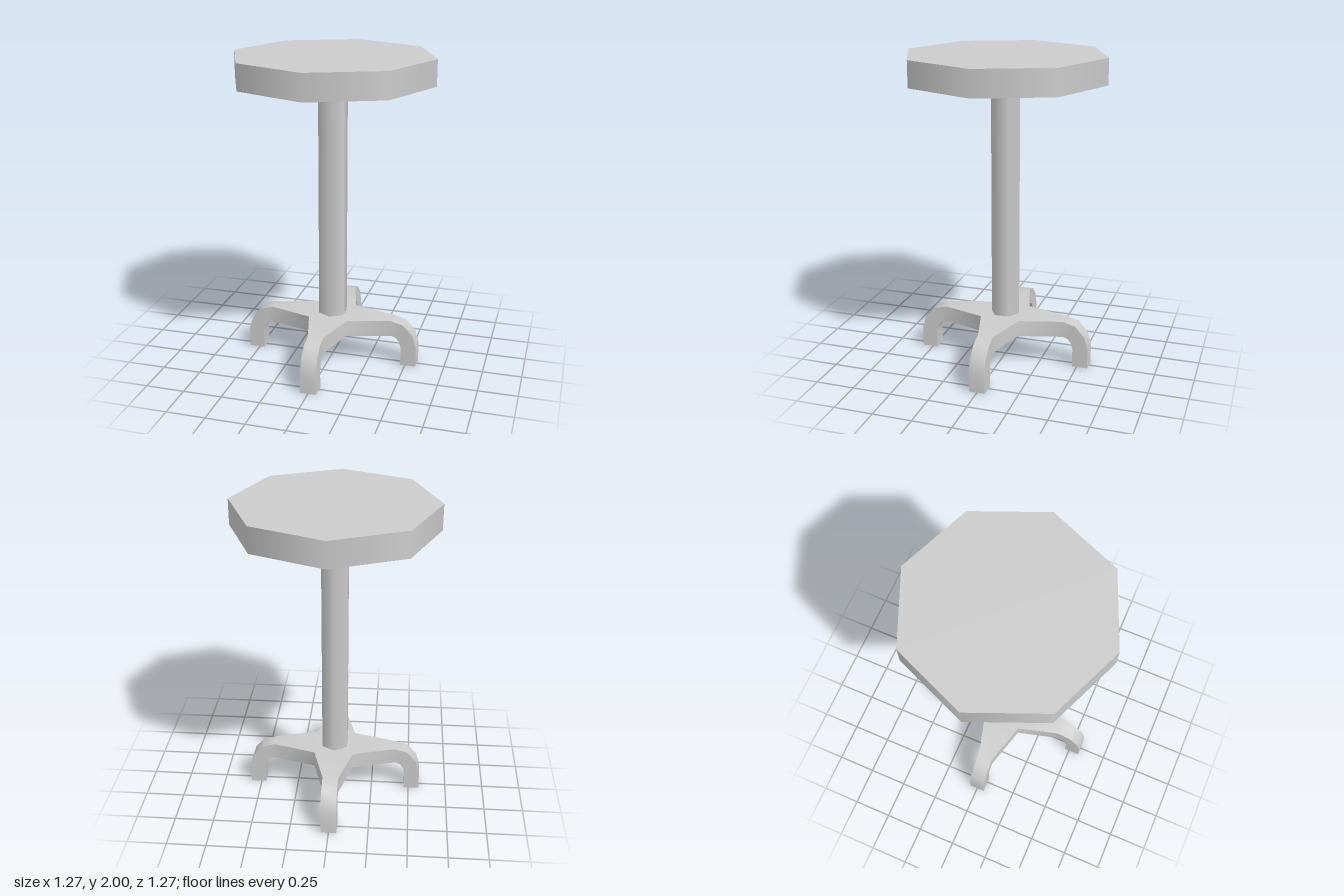
import * as THREE from 'three';
import { mergeGeometries, toCreasedNormals } from 'three/addons/utils/BufferGeometryUtils.js';

// Stations along one arm: outer x, outer y, inner x, inner y, half width
const ARM = [
  [0, 0.305, 0, 0.2, 0],
  [0.127, 0.305, 0.127, 0.2, 0.127],
  [0.4, 0.305, 0.405, 0.2, 0.05],
  [0.483, 0.283, 0.44, 0.187, 0.05],
  [0.545, 0.215, 0.461, 0.156, 0.05],
  [0.57, 0.13, 0.47, 0.122, 0.05],
  [0.57, 0, 0.47, 0, 0.05],
];

// Lofts the arm from the hub centre, over the bend and down to the foot
function armGeometry() {
  const rings = ARM.map(([ox, oy, ix, iy, w]) => [
    [ox, oy, w], [ox, oy, -w], [ix, iy, -w], [ix, iy, w],
  ]);
  const positions = [];
  const tri = (a, b, c) => positions.push(...a, ...b, ...c);
  for (let s = 0; s < rings.length - 1; s++) {
    const a = rings[s], b = rings[s + 1];
    for (let i = 0; i < 4; i++) {
      const j = (i + 1) % 4;
      if (s === 0) {
        // hub wedge: top and bottom only, its sides meet the next arms
        if (i % 2 === 0) tri(a[i], b[i], b[j]);
        continue;
      }
      tri(a[i], b[i], b[j]);
      tri(a[i], b[j], a[j]);
    }
  }
  // sole of the foot
  const f = rings[rings.length - 1];
  tri(f[0], f[3], f[2]);
  tri(f[0], f[2], f[1]);
  const geometry = new THREE.BufferGeometry();
  geometry.setAttribute('position', new THREE.Float32BufferAttribute(positions, 3));
  return geometry;
}

export function createModel() {
  const group = new THREE.Group();
  group.name = 'stool';
  const material = new THREE.MeshStandardMaterial({ color: 0xcccccc });
  const add = (name, geometry, y = 0) => {
    const mesh = new THREE.Mesh(geometry, material);
    mesh.name = name;
    mesh.position.y = y;
    group.add(mesh);
  };

  // Octagonal seat and hexagonal pole
  add('seat', new THREE.CylinderGeometry(0.637, 0.637, 0.163, 8), 1.9185);
  add('pole', new THREE.CylinderGeometry(0.094, 0.094, 1.532, 6), 1.071);

  // Four arms joined into a star-shaped base
  const arms = [0, 1, 2, 3].map((k) => armGeometry().rotateY(k * Math.PI / 2));
  add('base', toCreasedNormals(mergeGeometries(arms), THREE.MathUtils.degToRad(65)));

  return group;
}
